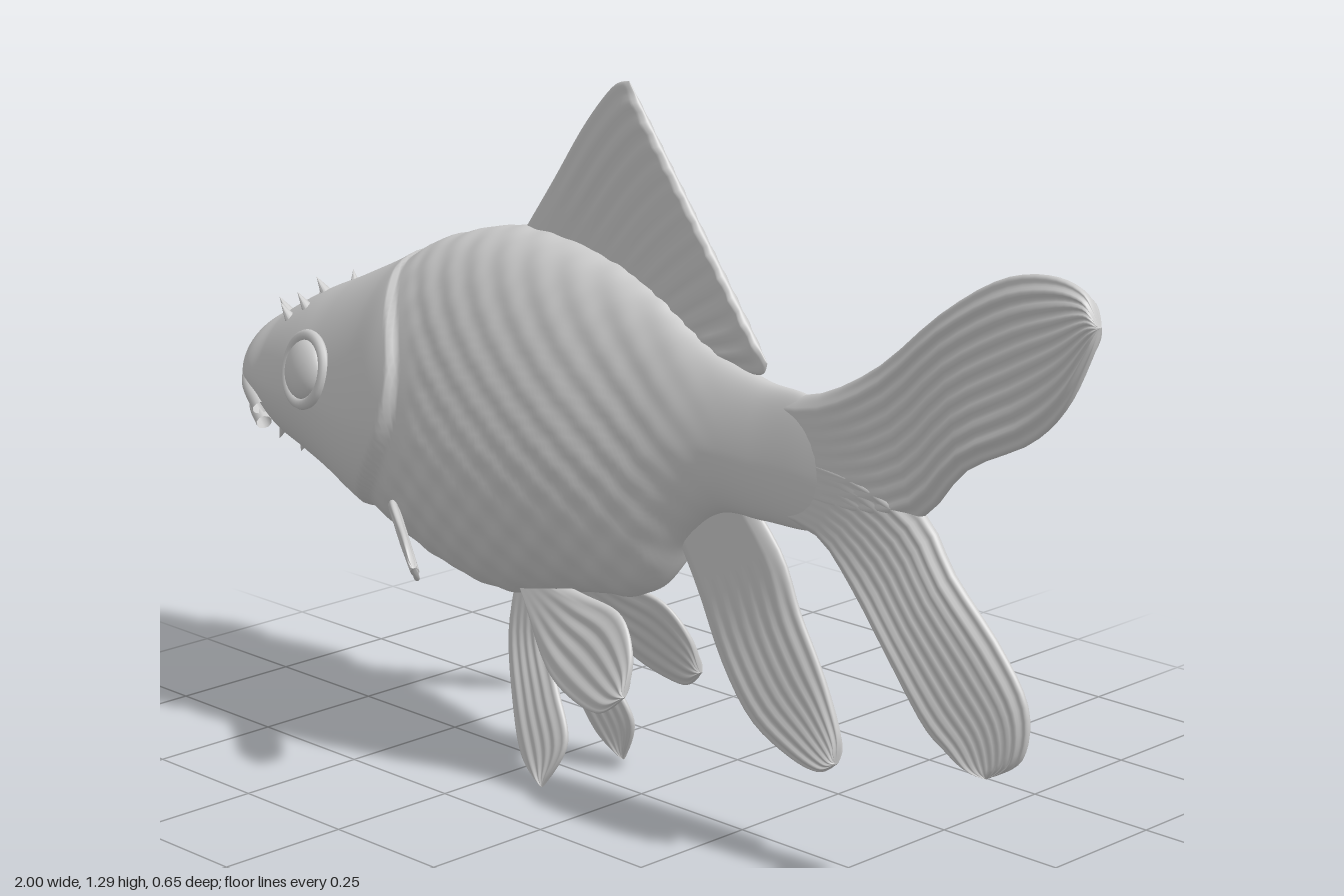
import * as THREE from 'three';

const grey = new THREE.MeshStandardMaterial({ color: 0xcccccc, side: THREE.DoubleSide });
const smooth = THREE.MathUtils.smoothstep;

// Body stations: x, back height, belly height, half width
const stations = [
  [-1, 0.68, 0.61, 0.06], [-0.98, 0.71, 0.575, 0.1], [-0.9, 0.76, 0.51, 0.135],
  [-0.8, 0.81, 0.475, 0.163], [-0.7, 0.85, 0.445, 0.18], [-0.58, 0.9, 0.395, 0.193],
  [-0.5, 0.945, 0.36, 0.2], [-0.4, 0.978, 0.328, 0.2], [-0.3, 0.998, 0.317, 0.192],
  [-0.2, 1.0, 0.335, 0.175], [-0.1, 0.985, 0.36, 0.152], [0, 0.955, 0.375, 0.122],
  [0.06, 0.927, 0.41, 0.105], [0.12, 0.893, 0.5, 0.088], [0.2, 0.85, 0.565, 0.066],
  [0.3, 0.82, 0.575, 0.047], [0.4, 0.81, 0.578, 0.03], [0.5, 0.76, 0.6, 0.008],
];
const profile = new THREE.CubicInterpolant(
  stations.map((s) => s[0]), new Float32Array(stations.flatMap((s) => s.slice(1))), 3);

// Surface point at station x and angle a (0 = left side, PI/2 = back)
function bodyPoint(x, a) {
  const [top, bottom, width] = profile.evaluate(x);
  const mid = bottom + 0.46 * (top - bottom);
  const s = Math.sin(a), c = Math.cos(a);
  const y = mid + s * (s > 0 ? top - mid : mid - bottom);
  const z = width * c * (1 - 0.08 * Math.max(s, 0) * Math.abs(c));

  // Gill cover step, scale rows behind it, mouth groove
  const gill = -0.43 - ((y - 0.7) / 0.24) ** 2 * 0.15 - x;
  let d = 0.016 * smooth(gill, 0, 0.014) * (1 - smooth(gill, 0.03, 0.3));
  const scaly = smooth(-gill, 0.02, 0.08) * (1 - smooth(x, 0, 0.25));
  d += 0.0035 * scaly * Math.sin(85 * x + 2 * Math.sin(9 * y)) * Math.cos(75 * y);
  d -= 0.018 * (1 - smooth(x, -0.92, -0.87)) * Math.exp(-(((y - 0.625 + 0.7 * (x + 1)) / 0.012) ** 2));
  return new THREE.Vector3(x, y + d * s * 0.4, z + d * c);
}

// Surface point on the upper head at a given z
function headTop(x, z) {
  const width = profile.evaluate(x)[2];
  return bodyPoint(x, Math.acos(THREE.MathUtils.clamp(z / width, -1, 1)));
}

function indexedMesh(name, positions, index) {
  const g = new THREE.BufferGeometry();
  g.setAttribute('position', new THREE.Float32BufferAttribute(positions, 3));
  g.setIndex(index);
  g.computeVertexNormals();
  const mesh = new THREE.Mesh(g, grey);
  mesh.name = name;
  return mesh;
}

function body() {
  const rings = 230, seg = 112, pos = [], idx = [];
  for (let i = 0; i <= rings + 1; i++) {
    const x = -1 + 1.5 * (Math.max(i - 1, 0) / rings) ** 1.25;
    for (let j = 0; j < seg; j++) {
      const p = bodyPoint(x, (j / seg) * Math.PI * 2);
      if (i === 0) p.set(-1, 0.645, 0); // closes the snout
      pos.push(p.x, p.y, p.z);
      if (i > rings) continue;
      const k = i * seg + j, l = i * seg + ((j + 1) % seg);
      idx.push(k, k + seg, l, l, k + seg, l + seg);
    }
  }
  return indexedMesh('body', pos, idx);
}

// Ribbed fin between two edge curves; depth(x, y) gives its middle surface
function fin(name, edgeA, edgeB, { thick = 0.016, ribs = 9, taper = 0.4, depth = () => 0, side = 1 } = {}) {
  const [A, B] = [edgeA, edgeB].map((e) => new THREE.SplineCurve(e.map((p) => new THREE.Vector2(...p))));
  const nu = 56, nv = 32, pos = [], idx = [];
  for (const face of [1, -1]) {
    const base = pos.length / 3;
    for (let j = 0; j <= nv; j++) {
      const v = Math.sin((j / nv) * Math.PI / 2);
      const a = A.getPoint(v), b = B.getPoint(v);
      for (let i = 0; i <= nu; i++) {
        const u = (1 - Math.cos((i / nu) * Math.PI)) / 2;
        const p = a.clone().lerp(b, u);
        const edge = Math.sqrt(Math.min(1, 10 * u * (1 - u))) * Math.sqrt(Math.min(1, (1 - v) * 10));
        const rib = 1 + 0.22 * smooth(v, 0.1, 0.4) * Math.cos(u * ribs * Math.PI * 2);
        pos.push(p.x, p.y, side * depth(p.x, p.y) + face * thick * (1 - taper * v) * edge * rib);
        if (i === nu || j === nv) continue;
        const k = base + j * (nu + 1) + i, l = k + nu + 1;
        if (face > 0) idx.push(k, l, k + 1, k + 1, l, l + 1);
        else idx.push(k, k + 1, l, k + 1, l + 1, l);
      }
    }
  }
  return indexedMesh(name, pos, idx);
}

function add(group, name, geometry, position, scale = [1, 1, 1]) {
  const mesh = new THREE.Mesh(geometry, grey);
  mesh.name = name;
  mesh.position.set(...position);
  mesh.scale.set(...scale);
  group.add(mesh);
  return mesh;
}

function lip(group, name, half, radius) {
  const pts = [...half.map(([x, y, z]) => [x, y, z]), ...half.map(([x, y, z]) => [x, y, -z]).reverse()];
  const curve = new THREE.CatmullRomCurve3(pts.map((p) => new THREE.Vector3(...p)));
  add(group, name, new THREE.TubeGeometry(curve, 48, radius, 10), [0, 0, 0]);
}

export function createModel() {
  const fish = new THREE.Group();
  fish.name = 'fish';
  fish.add(body());

  // Dorsal, tail and anal fins on the centre plane
  fish.add(fin('dorsalFin',
    [[-0.31, 0.97], [-0.22, 1.09], [-0.14, 1.2], [-0.07, 1.275], [-0.03, 1.29]],
    [[0.17, 0.82], [0.22, 0.825], [0.26, 0.825], [0.29, 0.83], [0.3, 0.85]], { ribs: 13 }));
  fish.add(fin('upperTailFin',
    [[0.3, 0.8], [0.42, 0.82], [0.55, 0.89], [0.68, 1.0], [0.8, 1.075], [0.9, 1.097], [0.97, 1.08], [1, 1.03]],
    [[0.3, 0.64], [0.5, 0.62], [0.645, 0.65], [0.74, 0.75], [0.87, 0.82], [0.94, 0.89], [0.985, 0.98], [1, 1.03]],
    { thick: 0.024, taper: 0.6 }));
  fish.add(fin('lowerTailFin',
    [[0.3, 0.72], [0.5, 0.71], [0.65, 0.66], [0.72, 0.57], [0.82, 0.47], [0.88, 0.38], [0.87, 0.29], [0.8, 0.24]],
    [[0.3, 0.59], [0.42, 0.575], [0.5, 0.5], [0.58, 0.4], [0.66, 0.3], [0.71, 0.265], [0.75, 0.245], [0.8, 0.24]],
    { thick: 0.024, taper: 0.6 }));
  fish.add(fin('analFin',
    [[0.07, 0.54], [0.14, 0.42], [0.2, 0.3], [0.27, 0.21], [0.36, 0.165], [0.43, 0.155], [0.47, 0.18]],
    [[0.27, 0.6], [0.34, 0.52], [0.38, 0.43], [0.42, 0.36], [0.45, 0.3], [0.475, 0.23], [0.47, 0.18]], { ribs: 7 }));

  for (const side of [1, -1]) {
    const tag = side > 0 ? 'left' : 'right';

    // Two pelvic fins and a pectoral fin on each side
    fish.add(fin(tag + 'PelvicFin',
      [[-0.29, 0.36], [-0.29, 0.25], [-0.25, 0.12], [-0.21, 0.04], [-0.15, 0]],
      [[-0.22, 0.37], [-0.2, 0.27], [-0.15, 0.18], [-0.105, 0.09], [-0.15, 0]],
      { thick: 0.013, ribs: 5, side, depth: (x, y) => 0.03 + (0.34 - y) * 0.215 }));
    fish.add(fin(tag + 'RearPelvicFin',
      [[-0.25, 0.38], [-0.1, 0.365], [0, 0.35], [0.05, 0.29], [0.055, 0.22]],
      [[-0.25, 0.35], [-0.17, 0.25], [-0.1, 0.2], [0, 0.18], [0.055, 0.22]],
      { thick: 0.013, ribs: 5, side, depth: (x, y) => 0.05 + (0.36 - y) * 0.33 }));
    fish.add(fin(tag + 'PectoralFin',
      [[-0.5, 0.47], [-0.45, 0.495], [-0.37, 0.485], [-0.28, 0.48], [-0.245, 0.44]],
      [[-0.5, 0.44], [-0.44, 0.405], [-0.37, 0.395], [-0.28, 0.4], [-0.245, 0.44]],
      { thick: 0.012, ribs: 4, side, depth: (x, y) => 0.135 + (x + 0.5) * 0.72 + (y - 0.44) * 0.35 }));

    // Eye with a raised rim
    const eye = new THREE.Group();
    eye.name = tag + 'Eye';
    add(eye, 'eyeball', new THREE.SphereGeometry(0.056, 32, 20), [0, 0, 0], [1, 1, 0.5]);
    add(eye, 'eyeRim', new THREE.TorusGeometry(0.064, 0.011, 10, 40), [0, 0, 0], [1, 1, 0.9]);
    eye.position.set(-0.71, 0.69, side * 0.171);
    eye.rotation.set(-side * 0.22, -side * 0.17, 0);
    fish.add(eye);

    // Small pointed bumps on the forehead and chin
    for (const [x, z] of [[-0.915, 0.045], [-0.86, 0.09], [-0.815, 0.085], [-0.81, 0.04]]) {
      const p = headTop(x, z * side);
      add(fish, 'foreheadBump', new THREE.ConeGeometry(0.016, 0.05, 10), [p.x, p.y + 0.008, p.z])
        .rotation.set(side * 0.3, 0, 0.5);
    }
    for (const [x, a] of [[-0.9, -1.0], [-0.87, -1.25]]) {
      const p = bodyPoint(x, side > 0 ? a : Math.PI - a);
      add(fish, 'chinBump', new THREE.ConeGeometry(0.014, 0.045, 10), [p.x, p.y - 0.008, p.z])
        .rotation.set(0, 0, Math.PI - 0.5);
    }
  }

  // Mouth
  lip(fish, 'upperLip', [[-0.895, 0.575, 0.128], [-0.95, 0.615, 0.108], [-0.98, 0.645, 0.062]], 0.017);
  lip(fish, 'lowerLip', [[-0.895, 0.545, 0.122], [-0.945, 0.57, 0.098], [-0.97, 0.59, 0.055]], 0.015);
  return fish;
}
